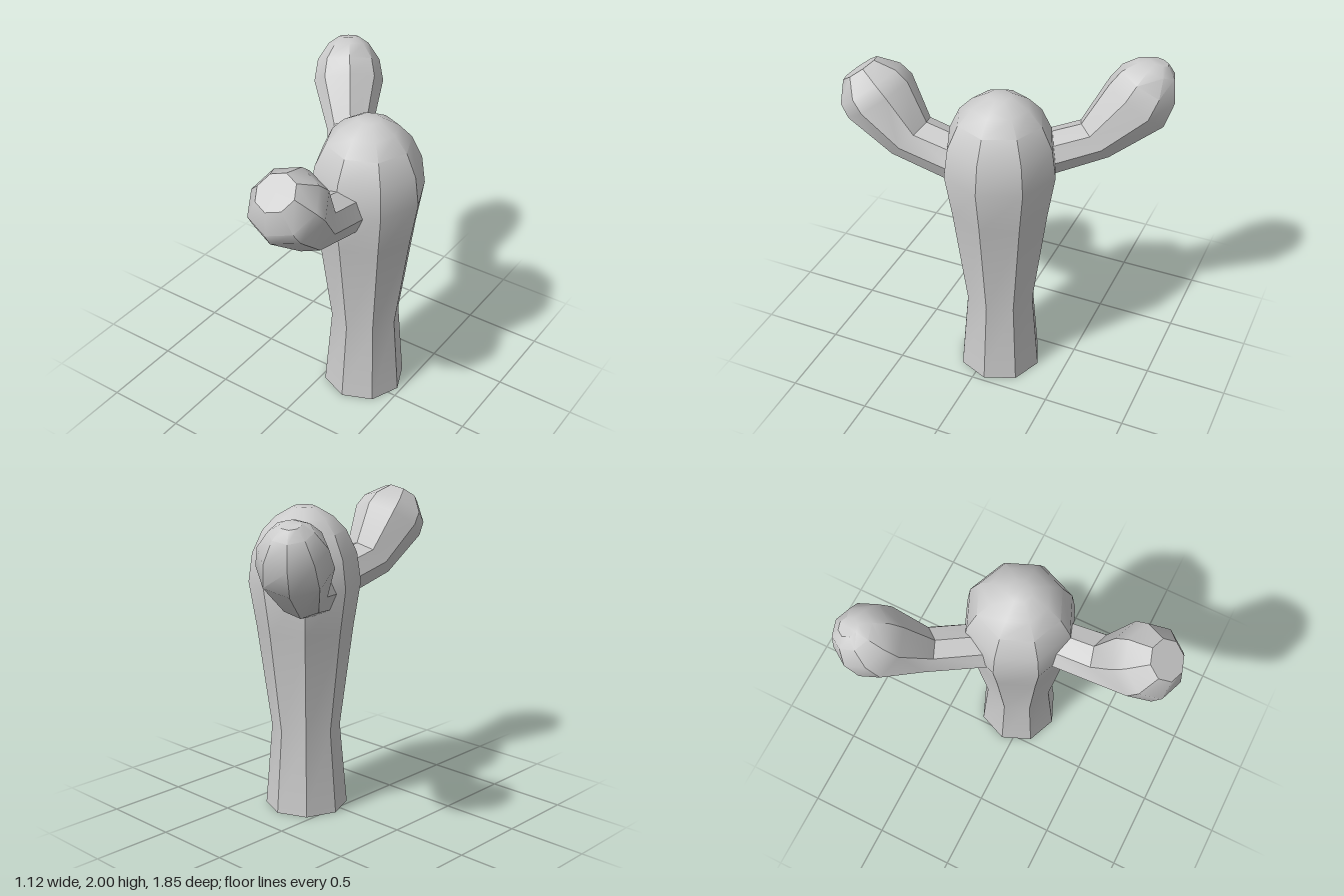
import * as THREE from 'three';
import { toCreasedNormals } from 'three/addons/utils/BufferGeometryUtils.js';

const SIDES = 8;

// Lofts octagonal rings [z, y, radius, pitch in degrees] lying along a path in the local z-y plane.
function loft(name, rings) {
  const points = [];
  const index = [];
  for (const [z, y, r, pitch] of rings) {
    const p = THREE.MathUtils.degToRad(pitch);
    for (let k = 0; k < SIDES; k++) {
      const a = (k / SIDES) * Math.PI * 2;
      const up = Math.sin(a) * r;
      points.push(Math.cos(a) * r, y + up * Math.cos(p), z - up * Math.sin(p));
    }
  }
  const last = (rings.length - 1) * SIDES;
  const startCentre = rings.length * SIDES;
  for (const [z, y] of [rings[0], rings[rings.length - 1]]) points.push(0, y, z);

  for (let k = 0; k < SIDES; k++) {
    const n = (k + 1) % SIDES;
    for (let i = 0; i < last; i += SIDES) {
      index.push(i + k, i + n, i + SIDES + n, i + k, i + SIDES + n, i + SIDES + k);
    }
    index.push(startCentre, n, k, startCentre + 1, last + k, last + n);
  }
  const geometry = new THREE.BufferGeometry();
  geometry.setAttribute('position', new THREE.Float32BufferAttribute(points, 3));
  geometry.setIndex(index);
  const mesh = new THREE.Mesh(
    toCreasedNormals(geometry, THREE.MathUtils.degToRad(35)),
    new THREE.MeshStandardMaterial({ color: 0xcccccc })
  );
  mesh.name = name;
  return mesh;
}

export function createModel() {
  const cactus = new THREE.Group();
  cactus.name = 'cactus';

  // Trunk: pinched low down, swelling to a domed top
  const trunk = loft('trunk', [
    [0, 0, 0.26], [0, 0.53, 0.215], [0, 1.18, 0.3], [0, 1.46, 0.345],
    [0, 1.64, 0.32], [0, 1.78, 0.255], [0, 1.865, 0.175], [0, 1.925, 0.07],
  ].map((ring) => [...ring, 90]));
  trunk.position.set(0.215, 0, -0.07);

  // Front arm: bends upward and ends in a flat cut
  const frontArm = loft('frontArm', [
    [0.1, 1.42, 0.145, 13],
    [0.505, 1.517, 0.157, 42],
    [0.697, 1.742, 0.228, 54],
    [0.757, 1.812, 0.212, 54],
    [0.82, 1.9, 0.12, 54],
  ]);
  frontArm.position.x = 0.215;

  // Back arm: longer, with a rounded tip
  const backArm = loft('backArm', [
    [0.05, 1.42, 0.14, 12],
    [0.517, 1.51, 0.14, 38],
    [0.76, 1.73, 0.218, 52],
    [0.825, 1.845, 0.195, 60],
    [0.865, 1.94, 0.125, 68],
    [0.88, 1.98, 0.06, 72],
  ]);
  backArm.position.set(0.1, 0, -0.076);
  backArm.rotation.y = Math.atan2(-0.58, -0.81);

  cactus.add(trunk, frontArm, backArm);
  return cactus;
}
